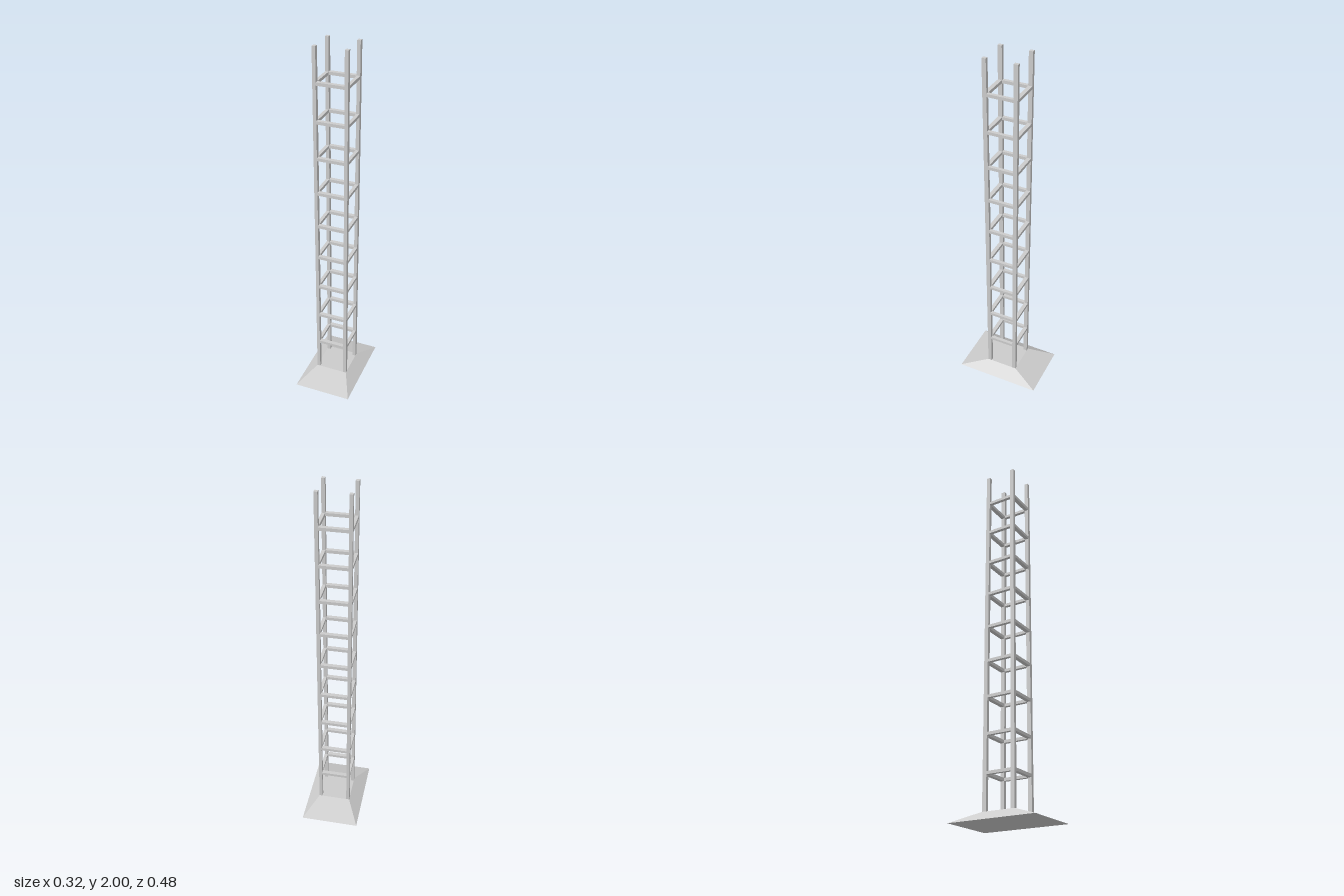
import * as THREE from 'three';

const material = new THREE.MeshStandardMaterial({ color: 0xcccccc, flatShading: true });

function addBox(parent, name, size, position) {
  const mesh = new THREE.Mesh(new THREE.BoxGeometry(...size), material);
  mesh.name = name;
  mesh.position.set(...position);
  parent.add(mesh);
  return mesh;
}

export function createModel() {
  const tower = new THREE.Group();
  tower.name = 'latticeTower';

  const baseHeight = 0.05, height = 2;
  const postW = 0.018, postD = 0.022; // post section in x and z
  const px = 0.082, pz = 0.08; // post centres

  // Sloped base: a box whose top corners are drawn inwards
  const base = addBox(tower, 'base', [0.324, baseHeight, 0.484], [0, baseHeight / 2, 0]);
  const p = base.geometry.attributes.position;
  for (let i = 0; i < p.count; i++) {
    if (p.getY(i) > 0) {
      p.setX(i, Math.sign(p.getX(i)) * 0.091);
      p.setZ(i, Math.sign(p.getZ(i)) * 0.091);
    }
  }
  base.geometry.computeVertexNormals();

  // Four corner posts
  const postH = height - baseHeight;
  for (const sx of [-1, 1]) {
    for (const sz of [-1, 1]) {
      addBox(tower, 'cornerPost', [postW, postH, postD], [sx * px, baseHeight + postH / 2, sz * pz]);
    }
  }

  // Nine square rings of rungs between the posts
  const rungH = 0.016;
  for (let i = 0; i < 9; i++) {
    const ring = new THREE.Group();
    ring.name = 'rungRing';
    ring.position.y = 0.237 + i * 0.1977;
    for (const s of [-1, 1]) {
      addBox(ring, 'crossRung', [2 * px - postW, rungH, postD], [0, 0, s * pz]);
      addBox(ring, 'sideRung', [postW, rungH, 2 * pz - postD], [s * px, 0, 0]);
    }
    tower.add(ring);
  }

  return tower;
}
